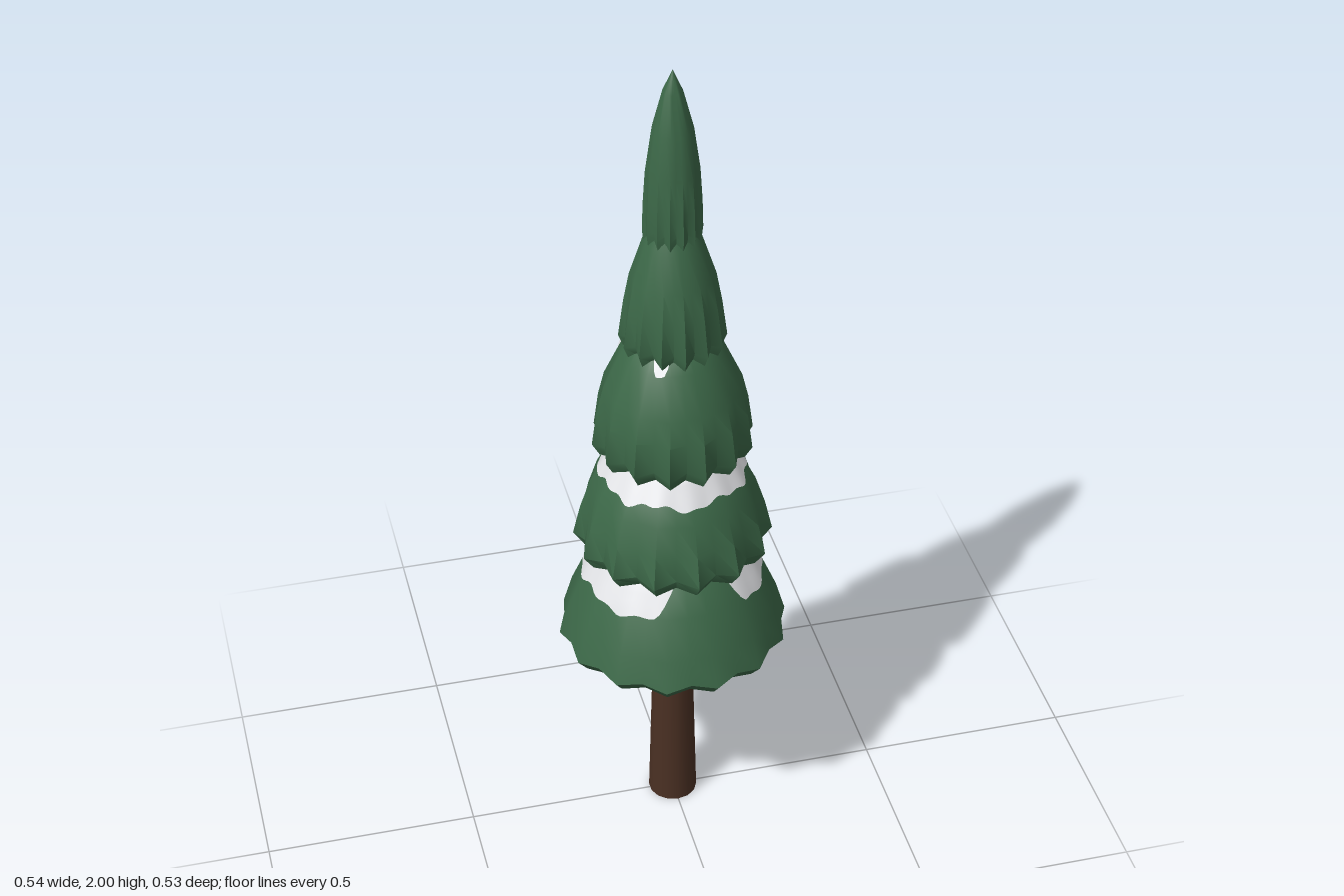
import * as THREE from 'three';
import { mergeVertices, toCreasedNormals } from 'three/addons/utils/BufferGeometryUtils.js';

const SCALLOPS = 14;

// Triangle wave, +1 at each branch tip and -1 in each valley
function scallop(angle, phase) {
  const u = ((angle - phase) * SCALLOPS) / (2 * Math.PI);
  return 4 * Math.abs(u - Math.floor(u) - 0.5) - 1;
}

// Each tier: profile of [radius, height] from the underside to the top
const tiers = [
  { amp: 0.025, phase: 0.07, rim: 0.53, snow: 0.69,
    profile: [[0, 0.44], [0.07, 0.452], [0.238, 0.5], [0.263, 0.53], [0.243, 0.6], [0.205, 0.695], [0.165, 0.77], [0.1, 0.84], [0, 0.87]] },
  { amp: 0.05, phase: 0.2, rim: 0.8, snow: 0.98,
    profile: [[0, 0.76], [0.1, 0.755], [0.195, 0.765], [0.219, 0.8], [0.205, 0.87], [0.185, 0.94], [0.165, 0.98], [0.125, 1.05], [0, 1.12]] },
  { amp: 0.06, phase: 0.05, rim: 1.06, snow: 1.3,
    profile: [[0, 1.04], [0.1, 1.035], [0.158, 1.04], [0.175, 1.07], [0.167, 1.15], [0.155, 1.21], [0.115, 1.305], [0.08, 1.36], [0, 1.4]] },
  { amp: 0.07, phase: 0.22, rim: 1.33,
    profile: [[0, 1.32], [0.07, 1.312], [0.102, 1.317], [0.113, 1.345], [0.104, 1.43], [0.093, 1.5], [0.065, 1.59], [0.045, 1.64], [0, 1.66]] },
  { amp: 0.06, phase: 0.1, rim: 1.61,
    profile: [[0, 1.6], [0.045, 1.585], [0.059, 1.588], [0.063, 1.62], [0.062, 1.68], [0.058, 1.76], [0.045, 1.86], [0.022, 1.95], [0, 2]] },
];

// Scallops are strongest at the rim and fade toward the top
function flute(tier, y, angle) {
  const top = tier.profile.at(-1)[1];
  const k = THREE.MathUtils.clamp((y - tier.rim) / (top - tier.rim), 0, 1);
  return 1 + tier.amp * (1 - k) ** 1.5 * scallop(angle, tier.phase);
}

function tierGeometry(tier) {
  const points = tier.profile.map(([r, y]) => new THREE.Vector2(r, y));
  const geo = new THREE.LatheGeometry(points, SCALLOPS * 2, Math.PI / 2 - tier.phase);
  const pos = geo.attributes.position;
  for (let i = 0; i < pos.count; i++) {
    const x = pos.getX(i), y = pos.getY(i), z = pos.getZ(i);
    const angle = Math.atan2(z, x);
    const f = flute(tier, y, angle);
    const isRim = y < tier.rim + 0.02 && Math.hypot(x, z) > tier.profile[3][0] * 0.8;
    const droop = isRim ? 0.006 * scallop(angle, tier.phase) : 0;
    pos.setXYZ(i, x * f, y - droop, z * f);
  }
  geo.deleteAttribute('uv');
  geo.deleteAttribute('normal');
  return toCreasedNormals(mergeVertices(geo, 1e-4), 0.75);
}

// Radius of a tier's upper surface at a given height
function radiusAt(tier, y) {
  const p = tier.profile;
  for (let i = 3; i < p.length - 1; i++) {
    if (y <= p[i + 1][1]) {
      return THREE.MathUtils.mapLinear(y, p[i][1], p[i + 1][1], p[i][0], p[i + 1][0]);
    }
  }
  return 0;
}

// 1 between two azimuths in degrees, easing to 0 outside
function inArc(deg, from, to, soft) {
  const half = (to - from) / 2;
  const d = Math.abs(((deg - from - half + 540) % 360 + 360) % 360 - 180);
  return 1 - THREE.MathUtils.smoothstep(d, half - soft, half + soft);
}

// Fraction of the full snow depth at each azimuth
const coverage = [
  (d) => 1 - inArc(d, 60, 106, 10),
  (d) => 1 - 0.5 * inArc(d, 268, 358, 8) - 0.5 * inArc(d, 308, 328, 6),
  (d) => inArc(d, 105, 130, 8) + inArc(d, 195, 245, 8),
];

// Thin shell lying just above the tier surface
function snowGeometry(tier, cover) {
  const cols = 112, rows = 6, verts = [], index = [];
  const top = tier.snow + 0.1;
  for (let c = 0; c <= cols; c++) {
    const a = (c / cols) * Math.PI * 2;
    const ripple = 0.006 * Math.sin(a * 7) + 0.004 * Math.sin(a * 17 + 1);
    const low = THREE.MathUtils.lerp(top, tier.snow + ripple, cover((a * 180) / Math.PI));
    for (let r = 0; r <= rows; r++) {
      const y = THREE.MathUtils.lerp(low, top, r / rows);
      const rad = radiusAt(tier, y) * flute(tier, y, a) + 0.004;
      verts.push(Math.cos(a) * rad, y, Math.sin(a) * rad);
      if (c < cols && r < rows) {
        const i = c * (rows + 1) + r, j = i + rows + 1;
        index.push(i, i + 1, j, i + 1, j + 1, j);
      }
    }
  }
  const geo = new THREE.BufferGeometry();
  geo.setAttribute('position', new THREE.Float32BufferAttribute(verts, 3));
  geo.setIndex(index);
  geo.computeVertexNormals();
  return geo;
}

export function createModel() {
  const foliage = new THREE.MeshStandardMaterial({ color: 0x3c6848 });
  foliage.name = 'foliageGreen';
  const snow = new THREE.MeshStandardMaterial({ color: 0xe4e5e8, side: THREE.DoubleSide });
  snow.name = 'snowWhite';
  const bark = new THREE.MeshStandardMaterial({ color: 0x4a3023 });
  bark.name = 'barkBrown';

  const group = new THREE.Group();
  group.name = 'snowyConifer';
  const add = (name, geo, mat) => {
    const mesh = new THREE.Mesh(geo, mat);
    mesh.name = name;
    group.add(mesh);
    return mesh;
  };

  // Trunk
  add('trunk', new THREE.CylinderGeometry(0.045, 0.058, 0.5, 14), bark).position.y = 0.25;

  // Branch tiers with snow on the lower three
  tiers.forEach((tier, i) => {
    add(`branchTier${i + 1}`, tierGeometry(tier), foliage);
    if (tier.snow) add(`snow${i + 1}`, snowGeometry(tier, coverage[i]), snow);
  });
  return group;
}
